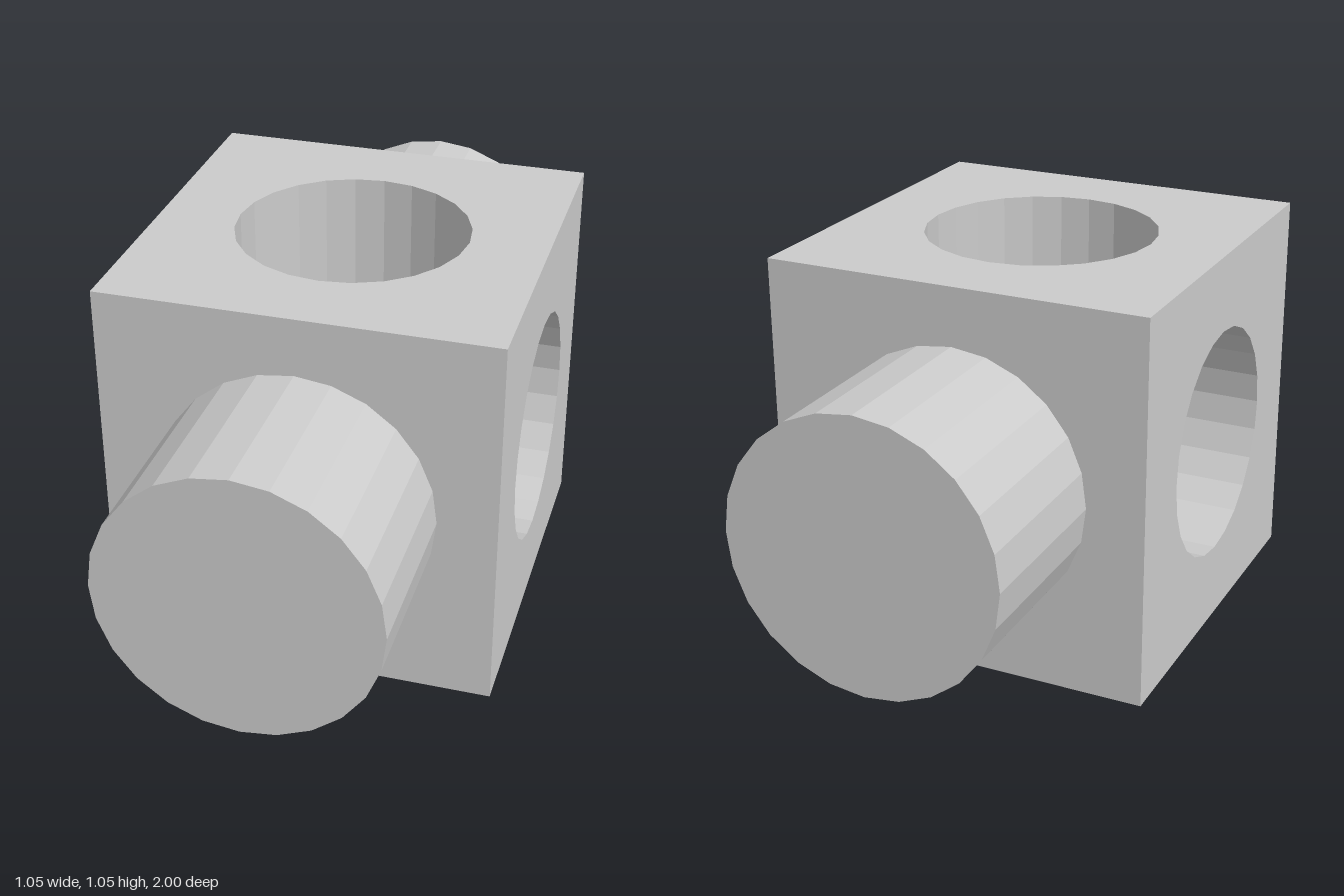
import * as THREE from 'three';

const HALF = 0.525;   // half the cube's side
const BORE = 0.315;   // radius of the two crossing through-holes
const STUD = 0.368;   // radius of the front and back studs
const SIDES = 24;

const material = new THREE.MeshStandardMaterial({ color: 0xcccccc, flatShading: true });

function circle(radius) {
  return Array.from({ length: SIDES }, (_, i) => {
    const t = (i / SIDES) * Math.PI * 2;
    return new THREE.Vector2(radius * Math.cos(t), radius * Math.sin(t));
  });
}

// Square cube face with a round opening, facing +z
function holedFace(radius) {
  const shape = new THREE.Shape([
    new THREE.Vector2(-HALF, -HALF), new THREE.Vector2(HALF, -HALF),
    new THREE.Vector2(HALF, HALF), new THREE.Vector2(-HALF, HALF),
  ]);
  shape.holes.push(new THREE.Path(circle(radius).reverse()));
  return new THREE.ShapeGeometry(shape).translate(0, 0, HALF);
}

// Tunnel wall from the face inwards, trimmed where it meets the crossing bore (z = |y|)
function boreWall() {
  const positions = [];
  const index = [];
  circle(BORE).forEach((p, i) => {
    positions.push(p.x, p.y, Math.abs(p.y), p.x, p.y, HALF);
    const a = i * 2, c = ((i + 1) % SIDES) * 2;
    index.push(a, a + 1, c, a + 1, c + 1, c);
  });
  const geometry = new THREE.BufferGeometry();
  geometry.setAttribute('position', new THREE.Float32BufferAttribute(positions, 3));
  geometry.setIndex(index);
  geometry.computeVertexNormals();
  return geometry;
}

// Solid round stud, open where it joins the cube, pointing along +z
function studGeometry() {
  const profile = [[STUD, HALF], [STUD, 1], [0, 1]].map(([x, y]) => new THREE.Vector2(x, y));
  return new THREE.LatheGeometry(profile, SIDES).rotateX(Math.PI / 2);
}

function part(name, geometry) {
  const mesh = new THREE.Mesh(geometry, material);
  mesh.name = name;
  return mesh;
}

export function createModel() {
  const model = new THREE.Group();
  model.name = 'crossBoredBlock';
  const q = Math.PI / 2;

  // Four bored sides of the cube
  const bored = { left: [0, q, 0], right: [0, -q, 0], top: [-q, 0, q], bottom: [q, 0, q] };
  for (const [name, rotation] of Object.entries(bored)) {
    const side = new THREE.Group();
    side.name = name + 'Side';
    side.add(part(name + 'Face', holedFace(BORE)), part(name + 'Bore', boreWall()));
    side.rotation.set(...rotation);
    model.add(side);
  }

  // Front and back sides with their studs
  for (const [name, turn] of [['front', 0], ['back', Math.PI]]) {
    const side = new THREE.Group();
    side.name = name + 'Side';
    side.add(part(name + 'Face', holedFace(STUD)), part(name + 'Stud', studGeometry()));
    side.rotation.y = turn;
    model.add(side);
  }

  model.position.y = HALF;
  return model;
}
